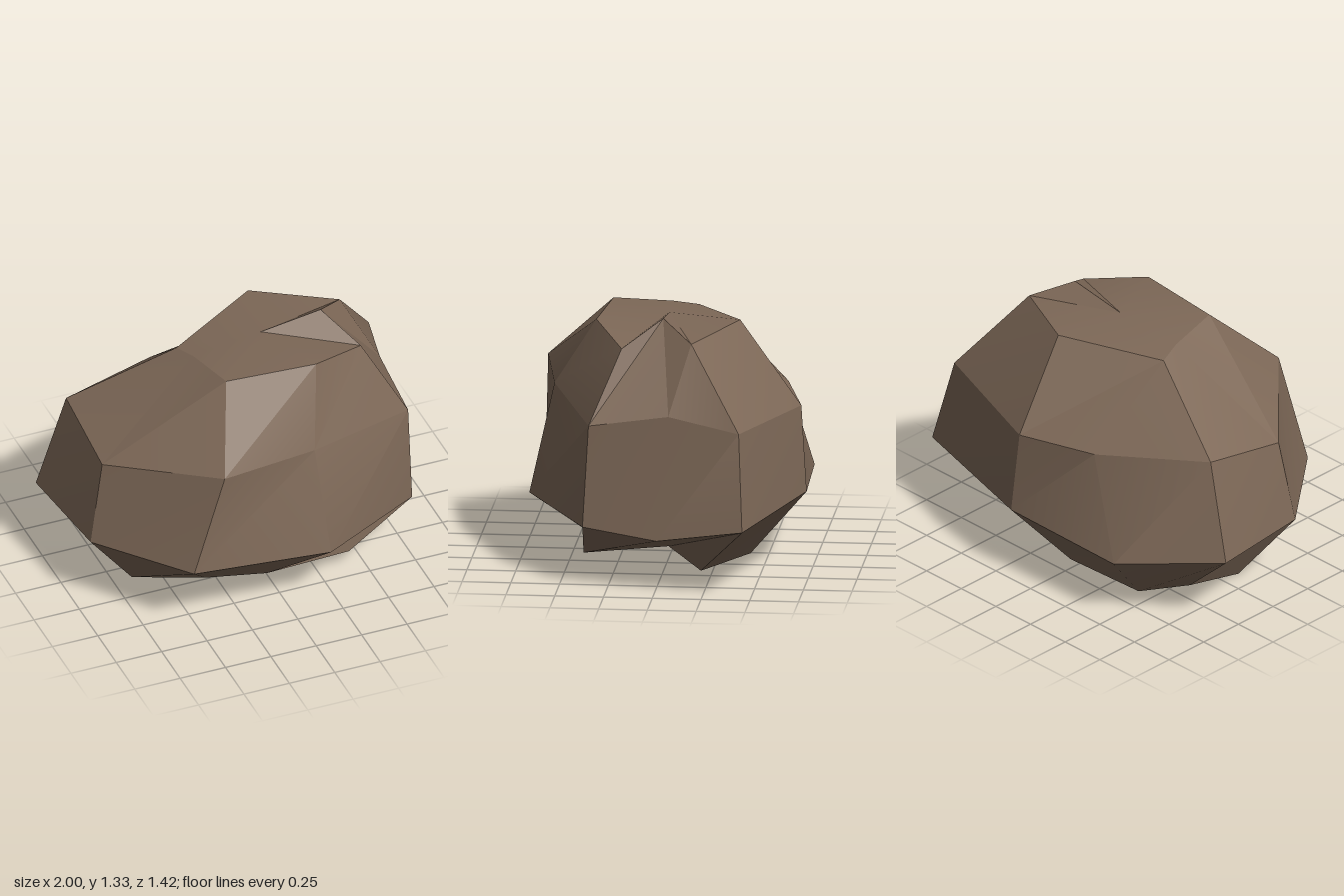
import * as THREE from 'three';
import { toCreasedNormals } from 'three/addons/utils/BufferGeometryUtils.js';

// Cross-sections of the boulder, each running left -> front -> right -> back.
const RINGS = [
  // base
  [[-0.65, 0.005, 0.1], [-0.38, 0.15, 0.43], [-0.03, 0.07, 0.41], [0.42, 0.085, 0.41], [0.46, 0.14, -0.03],
    [0.5, 0.025, -0.2], [0.05, 0.01, -0.41], [-0.42, 0.01, -0.39], [-0.55, 0.0, -0.15]],
  // widest belt
  [[-0.93, 0.39, 0.23], [-0.55, 0.4, 0.7], [0.2, 0.34, 0.71], [0.78, 0.31, 0.38], [0.88, 0.27, -0.01],
    [1, 0.355, -0.46], [0.18, 0.375, -0.71], [-0.53, 0.34, -0.68], [-1, 0.4, -0.34]],
  // shoulder
  [[-0.85, 0.83, 0.19], [-0.37, 0.93, 0.67], [0.16, 0.91, 0.585], [0.77, 0.84, 0.35], [0.78, 0.9, -0.06],
    [0.87, 0.84, -0.43], [0.15, 0.82, -0.68], [-0.28, 0.84, -0.57], [-0.85, 0.92, -0.3]],
  // crown, with the notched peak on the right
  [[-0.28, 1.245, 0.02], [-0.22, 1.27, 0.32], [0.26, 1.275, 0.36], [0.57, 1.2, 0.2], [0.43, 1.33, 0],
    [0.6, 1.24, -0.16], [0.18, 1.27, -0.37], [-0.32, 1.22, -0.11], [-0.32, 1.22, -0.11]],
];
const BASE_CENTRE = [-0.05, 0.02, 0];
const CROWN_CENTRE = [0.1, 1.28, 0];

function boulderGeometry() {
  const positions = [];
  const triangle = (a, b, c) => {
    const [p, q, r] = [a, b, c].map((v) => new THREE.Vector3(...v));
    const area = q.sub(p).cross(r.sub(p)).length();
    if (area > 1e-6) positions.push(...a, ...b, ...c);
  };
  const n = RINGS[0].length;
  const top = RINGS[RINGS.length - 1];
  for (let i = 0; i < n; i++) {
    const j = (i + 1) % n;
    // side facets between neighbouring rings
    for (let k = 0; k < RINGS.length - 1; k++) {
      const lower = RINGS[k], upper = RINGS[k + 1];
      triangle(lower[i], lower[j], upper[j]);
      triangle(lower[i], upper[j], upper[i]);
    }
    // underside and crown
    triangle(BASE_CENTRE, RINGS[0][j], RINGS[0][i]);
    triangle(CROWN_CENTRE, top[i], top[j]);
  }
  const geometry = new THREE.BufferGeometry();
  geometry.setAttribute('position', new THREE.Float32BufferAttribute(positions, 3));
  return toCreasedNormals(geometry, 0.35);
}

export function createModel() {
  const stone = new THREE.MeshStandardMaterial({ color: 0x7d6857 });
  stone.name = 'brownStone';

  const boulder = new THREE.Mesh(boulderGeometry(), stone);
  boulder.name = 'boulder';

  const model = new THREE.Group();
  model.name = 'rock';
  model.add(boulder);
  return model;
}
